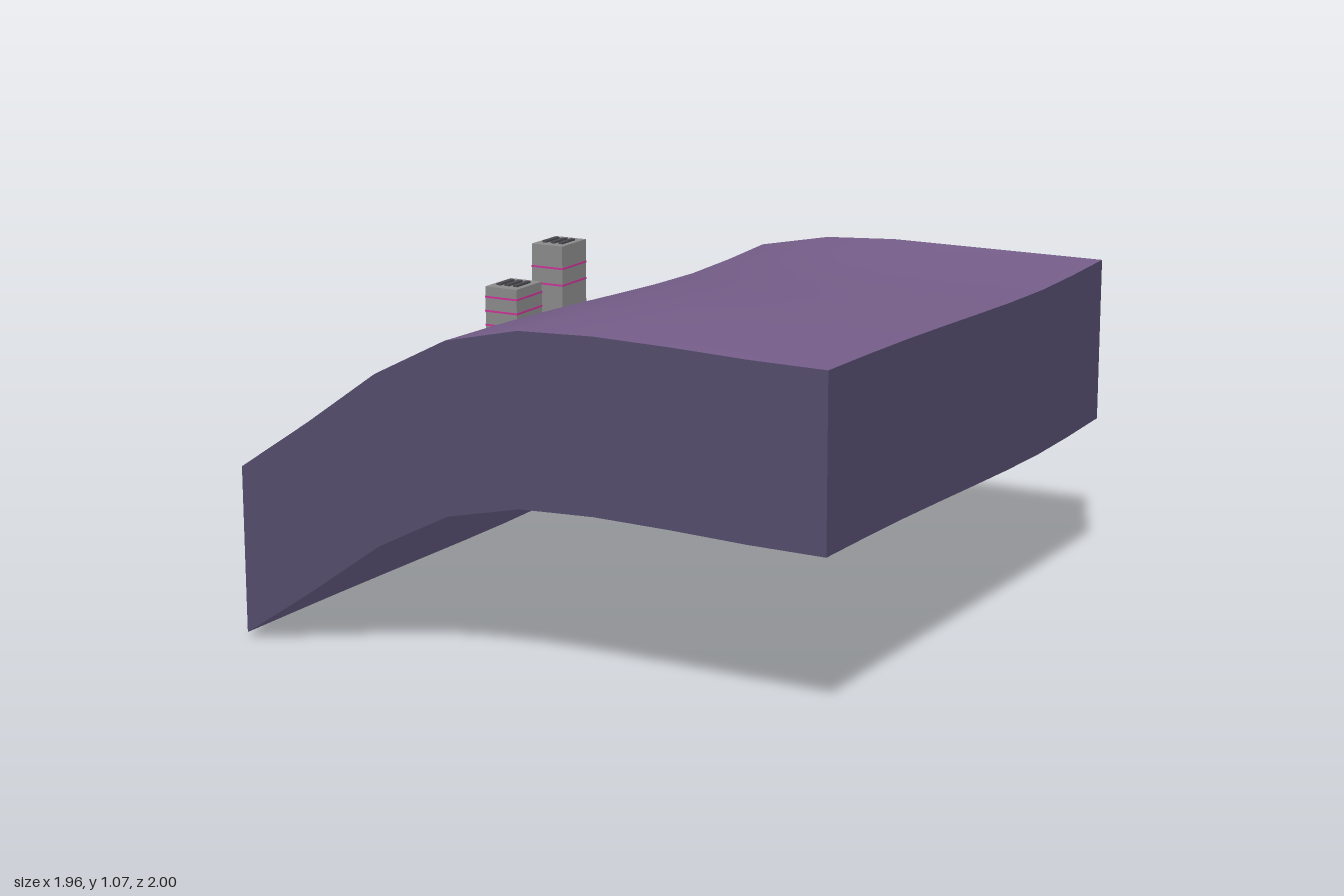
import * as THREE from 'three';

const N = 8, STEP = 0.245, X0 = -0.98, Z0 = -0.96, SKIRT = 0.522;
const frontProfile = [0.54, 0.705, 0.88, 1.005, 1.06, 1.07, 1.066, 1.058, 1.056];
const backProfile = [0.525, 0.675, 0.835, 0.957, 1.005, 1.02, 1.02, 1.02, 1.02];
const blend = [0, -0.2, -0.28, -0.12, 0.15, 0.44, 0.7, 0.88, 1]; // back to front

const gridY = (i, j) => backProfile[i] + (frontProfile[i] - backProfile[i]) * blend[j];
const gridPoint = (i, j) => new THREE.Vector3(X0 + i * STEP, gridY(i, j), Z0 + j * STEP);

// ground height anywhere, by blending the four grid corners
function groundY(x, z) {
  const u = THREE.MathUtils.clamp((x - X0) / STEP, 0, N - 0.001);
  const v = THREE.MathUtils.clamp((z - Z0) / STEP, 0, N - 0.001);
  const i = Math.floor(u), j = Math.floor(v), lerp = THREE.MathUtils.lerp;
  return lerp(lerp(gridY(i, j), gridY(i + 1, j), u - i), lerp(gridY(i, j + 1), gridY(i + 1, j + 1), u - i), v - j);
}

function makeGround(slopeMat, plateauMat) {
  const pts = [], slope = [], plateau = [];
  for (let j = 0; j <= N; j++) for (let i = 0; i <= N; i++) pts.push(gridPoint(i, j));
  const id = (i, j) => j * (N + 1) + i;
  const mix = (a, b, t) => pts.push(pts[a].clone().lerp(pts[b], t)) - 1;
  for (let j = 0; j < N; j++) for (let i = 0; i < N; i++) {
    const a = id(i, j), b = id(i, j + 1), c = id(i + 1, j), d = id(i + 1, j + 1);
    if (i === 2 && j < 6) {
      // blunt tooth of the slope colour reaching into the plateau
      const tip = mix(b, c, 0.86), root = mix(a, c, 0.86);
      slope.push(a, b, tip, a, tip, root);
      plateau.push(root, tip, c, b, d, tip, tip, d, c);
    } else (i < 2 ? slope : plateau).push(a, b, c, b, d, c);
  }
  const geo = new THREE.BufferGeometry().setFromPoints(pts);
  geo.setIndex([...slope, ...plateau]);
  geo.addGroup(0, slope.length, 0);
  geo.addGroup(slope.length, plateau.length, 1);
  geo.computeVertexNormals();
  const ground = new THREE.Mesh(geo, [slopeMat, plateauMat]);
  ground.name = 'groundSurface';
  return ground;
}

// one side wall hanging below an edge of the ground
function makeWall(name, at, mat) {
  const pos = [], index = [];
  for (let k = 0; k <= N; k++) {
    const p = at(k);
    pos.push(p.x, p.y, p.z, p.x, p.y - SKIRT, p.z);
    if (k < N) index.push(2 * k, 2 * k + 1, 2 * k + 2, 2 * k + 1, 2 * k + 3, 2 * k + 2);
  }
  const geo = new THREE.BufferGeometry();
  geo.setAttribute('position', new THREE.Float32BufferAttribute(pos, 3));
  geo.setIndex(index);
  geo.computeVertexNormals();
  const wall = new THREE.Mesh(geo, mat);
  wall.name = name;
  return wall;
}

function box(name, size, at, mat) {
  const mesh = new THREE.Mesh(new THREE.BoxGeometry(...size), mat);
  mesh.position.set(...at);
  mesh.name = name;
  return mesh;
}

export function createModel() {
  const material = (name, color, side = THREE.FrontSide) => {
    const m = new THREE.MeshStandardMaterial({ color, side });
    m.name = name;
    return m;
  };
  const slate = material('slate purple', 0x554d6e, THREE.DoubleSide);
  const mauve = material('mauve', 0x775f8b, THREE.DoubleSide);
  const concrete = material('concrete grey', 0x8c8c8c);
  const vent = material('vent grey', 0x4a4a50);
  const pink = material('neon pink', 0xcc3399);

  const model = new THREE.Group();
  model.name = 'hillside';

  // terrain shell, open underneath
  model.add(makeGround(slate, mauve));
  model.add(makeWall('frontWall', k => gridPoint(k, N), slate));
  model.add(makeWall('backWall', k => gridPoint(N - k, 0), slate));
  model.add(makeWall('leftWall', k => gridPoint(N, N - k), slate));
  model.add(makeWall('rightWall', k => gridPoint(0, k), slate));

  // towers with light bands and roof vents
  const W = 0.115, D = 0.15;
  const towers = [
    { name: 'tallTower', x: -0.653, z: -0.305, bottom: 0.675, top: 1.039, bands: [0.965, 0.91, 0.81, 0.75] },
    { name: 'shortTower', x: -0.573, z: 0.103, bottom: 0.735, top: 0.978, bands: [0.945, 0.9, 0.855, 0.805] },
  ];
  for (const t of towers) {
    const tower = new THREE.Group();
    tower.name = t.name;
    tower.add(box('towerBody', [W, t.top - t.bottom, D], [t.x, (t.top + t.bottom) / 2, t.z], concrete));
    for (const y of t.bands) tower.add(box('lightBand', [W + 0.003, 0.006, D + 0.003], [t.x, y, t.z], pink));
    for (const k of [-1, 0, 1]) {
      tower.add(box('roofVent', [0.016, 0.006, 0.08], [t.x + k * 0.03, t.top + 0.003, t.z], vent));
    }
    model.add(tower);
  }

  // row of glowing lane markers above the lower slope
  for (let k = 0; k < 6; k++) {
    const z = -0.9575 + k * 0.3255;
    model.add(box('laneMarker', [0.009, 0.014, 0.085], [-0.85, groundY(-0.85, z) + 0.027, z], pink));
  }
  return model;
}
